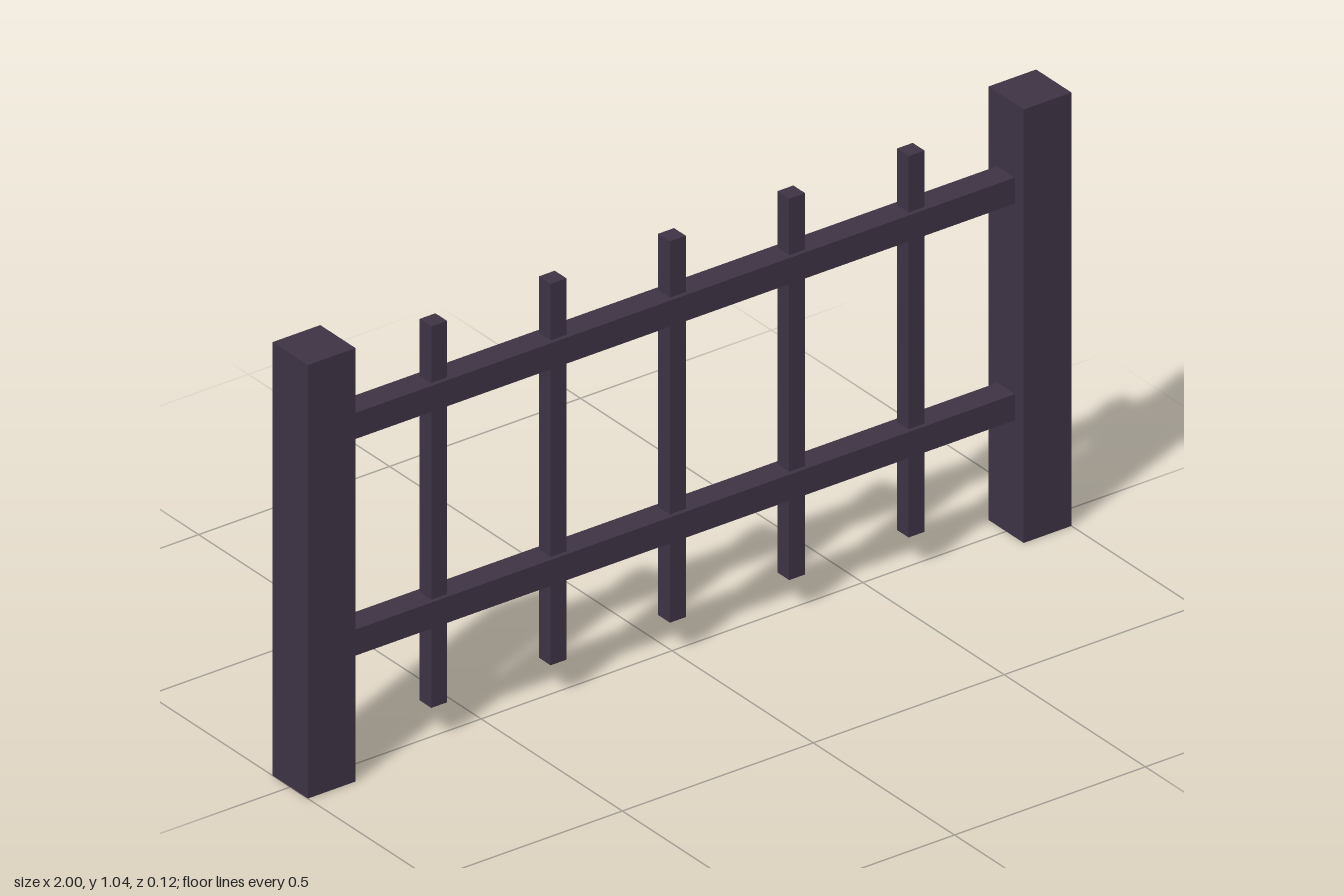
import * as THREE from 'three';

export function createModel() {
  const group = new THREE.Group();
  const iron = new THREE.MeshStandardMaterial({ color: 0x3d3344, flatShading: true });

  // Upright box of square section, or a rail along x
  function bar(name, width, height, depth, x, y) {
    const mesh = new THREE.Mesh(new THREE.BoxGeometry(width, height, depth), iron);
    mesh.name = name;
    mesh.position.set(x, y, 0);
    group.add(mesh);
  }

  // End posts
  const postWidth = 0.125, postHeight = 1.042;
  bar('leftPost', postWidth, postHeight, postWidth, 0.9375, postHeight / 2);
  bar('rightPost', postWidth, postHeight, postWidth, -0.9375, postHeight / 2);

  // Horizontal rails between the posts
  bar('lowerRail', 1.75, 0.0625, 0.0625, 0, 0.3125);
  bar('upperRail', 1.75, 0.0625, 0.0625, 0, 0.8333);

  // Five evenly spaced pickets through the rails
  for (let i = -2; i <= 2; i++) {
    bar(`picket${i + 3}`, 0.0417, 0.9167, 0.0417, i * 0.3125, 0.5417);
  }

  return group;
}
